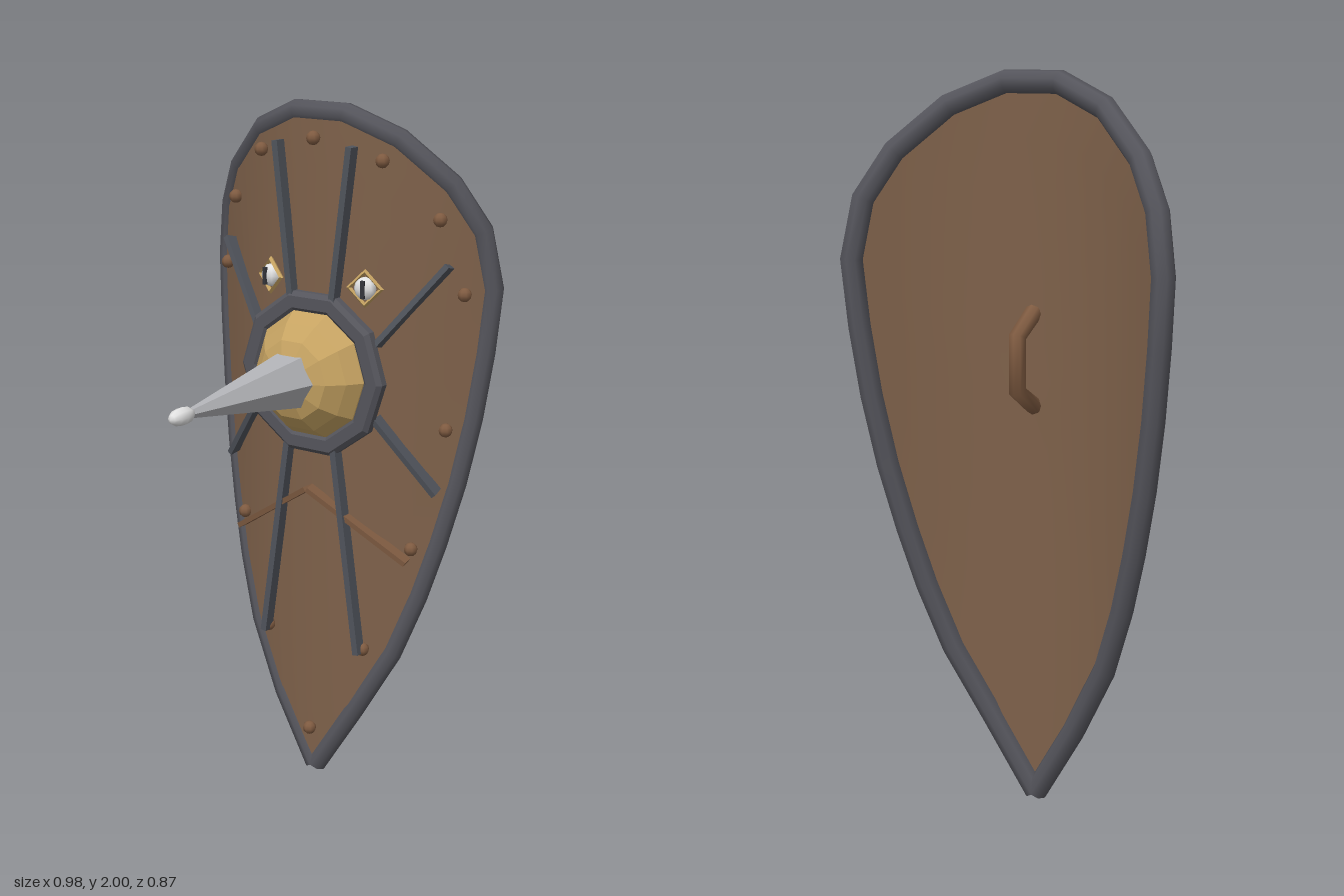
import * as THREE from 'three';

const mat = (name, color, side = THREE.FrontSide) => {
  const m = new THREE.MeshStandardMaterial({ color, side });
  m.name = name;
  return m;
};

// Straight-segment path, sampled corner by corner
class Polyline extends THREE.Curve {
  constructor(points) { super(); this.points = points; }
  getPoint(t, target = new THREE.Vector3()) {
    const n = this.points.length - 1;
    const i = Math.min(Math.floor(t * n + 1e-9), n - 1);
    return target.lerpVectors(this.points[i], this.points[i + 1], t * n - i);
  }
  getPointAt(u, target) { return this.getPoint(u, target); }
  getTangentAt(u, target) { return this.getTangent(u, target); }
}

const CENTRE_Y = 1.237;
const FRONT = -0.205, BACK = -0.235, RIM = -0.228;
const bend = (x, z0) => z0 - 0.85 * x * x;

// Right half of the kite outline, tip to top
const HALF = [[0, 0.018], [0.125, 0.22], [0.235, 0.42], [0.3, 0.6], [0.345, 0.76], [0.387, 0.94],
  [0.42, 1.13], [0.443, 1.32], [0.457, 1.5], [0.43, 1.66], [0.36, 1.785], [0.23, 1.905], [0.08, 1.967]];
const OUTLINE = [...HALF, ...HALF.slice().reverse().map(([x, y]) => [-x, y])];

const flat = (geometry) => {
  const g = geometry.index ? geometry.toNonIndexed() : geometry;
  g.computeVertexNormals();
  return g;
};

// Lathe whose axis points forward; profile is [radius, z]
const forwardLathe = (profile, sides) => {
  const pts = profile.map(([r, z]) => new THREE.Vector2(r, z));
  return flat(new THREE.LatheGeometry(pts, sides, Math.PI / 2).rotateX(Math.PI / 2));
};

// Curved board face: scaled rings of the outline about a centre point
function sheet(z0, flip) {
  const rings = 6, n = OUTLINE.length - 1, pos = [], idx = [];
  for (let r = 0; r <= rings; r++) {
    for (let i = 0; i < n; i++) {
      const x = OUTLINE[i][0] * r / rings;
      pos.push(x, 1.1 + (OUTLINE[i][1] - 1.1) * r / rings, bend(x, z0));
    }
  }
  for (let r = 0; r < rings; r++) {
    for (let i = 0; i < n; i++) {
      const a = r * n + i, b = r * n + (i + 1) % n, c = a + n, d = b + n;
      const tris = r ? [[a, c, d], [a, d, b]] : [[a, c, d]];
      for (const t of tris) idx.push(...(flip ? t.reverse() : t));
    }
  }
  const g = new THREE.BufferGeometry();
  g.setAttribute('position', new THREE.Float32BufferAttribute(pos, 3));
  g.setIndex(idx);
  g.computeVertexNormals();
  return g;
}

// Box bar running from a to b
function bar(a, b, width, depth) {
  const p = new THREE.Vector3(...a), q = new THREE.Vector3(...b);
  const dir = q.clone().sub(p), len = dir.length();
  dir.normalize();
  const x = dir.clone().cross(new THREE.Vector3(0, 0, 1)).normalize();
  const z = x.clone().cross(dir);
  const m = new THREE.Matrix4().makeBasis(x, dir, z).setPosition(p.add(q).multiplyScalar(0.5));
  return new THREE.BoxGeometry(width, len, depth).applyMatrix4(m);
}

export function createModel() {
  const wood = mat('wood', 0x7e614a);
  const trimWood = mat('trim wood', 0x7f5b41);
  const iron = mat('rim iron', 0x55555c, THREE.DoubleSide);
  const bandIron = mat('band iron', 0x50545c);
  const gold = mat('gold', 0xc6a362);
  const steel = mat('steel', 0xb2b3b7);
  const white = mat('pale metal', 0xe2e2e2);
  const dark = mat('pupil', 0x34353b);

  const model = new THREE.Group();
  model.name = 'shield';
  const add = (name, geometry, material, parent = model) => {
    const mesh = new THREE.Mesh(geometry, material);
    mesh.name = name;
    parent.add(mesh);
    return mesh;
  };

  // Curved board and its rim
  add('boardFront', sheet(FRONT, false), wood);
  add('boardBack', sheet(BACK, true), wood);
  const rimPath = [...OUTLINE, OUTLINE[0]].filter((p, i, all) => !i || p[0] !== all[i - 1][0] || p[1] !== all[i - 1][1])
    .map(([x, y]) => new THREE.Vector3(x, y, bend(x, RIM)));
  add('rim', new THREE.TubeGeometry(new Polyline(rimPath), rimPath.length - 1, 0.032, 8, false), iron);

  // Centre boss: ring, dome, spike and its tip
  const boss = new THREE.Group();
  boss.name = 'boss';
  boss.position.y = CENTRE_Y;
  model.add(boss);
  add('bossRing', forwardLathe([[0.18, -0.21], [0.243, -0.21], [0.243, -0.188], [0.23, -0.176],
    [0.195, -0.176], [0.18, -0.188], [0.18, -0.21]], 10), iron, boss);
  add('bossDome', forwardLathe([[0.19, -0.2], [0.185, -0.18], [0.157, -0.137], [0.115, -0.095],
    [0.06, -0.074], [0, -0.068]], 10), gold, boss);
  add('spike', forwardLathe([[0.083, -0.085], [0.012, 0.36], [0, 0.36]], 6), steel, boss);
  const tip = add('spikeTip', new THREE.SphereGeometry(0.025, 8, 6).rotateX(Math.PI / 2), white, boss);
  tip.scale.z = 1.9;
  tip.position.z = 0.388;

  // Mirrored bands, chevron and eyes
  for (const s of [1, -1]) {
    const bars = [
      ['upperBand', [0.125, 1.885, -0.197], [0.068, 1.43, -0.197], 0.019, 0.034],
      ['lowerBand', [0.167, 0.42, -0.2], [0.077, 1.05, -0.197], 0.019, 0.034],
      ['upperSideBand', [0.378, 1.57, -0.305], [0.2, 1.34, -0.222], 0.016, 0.042],
      ['lowerSideBand', [0.36, 0.922, -0.295], [0.2, 1.13, -0.222], 0.016, 0.042],
    ];
    for (const [name, a, b, w, d] of bars) {
      add(name, bar([s * a[0], a[1], a[2]], [s * b[0], b[1], b[2]], w, d), bandIron);
    }
    add('chevronArm', bar([0, 0.9, -0.18], [s * 0.295, 0.714, -0.25], 0.015, 0.036), trimWood);

    const eye = new THREE.Group();
    eye.name = 'eye';
    eye.position.set(s * 0.162, 1.497, -0.216);
    eye.rotation.y = s * 0.27;
    model.add(eye);
    add('eyeFrame', flat(new THREE.TorusGeometry(0.047, 0.008, 4, 4)), gold, eye);
    add('eyeball', new THREE.SphereGeometry(0.033, 8, 6), white, eye).scale.z = 0.7;
    add('eyeSlit', new THREE.BoxGeometry(0.011, 0.05, 0.009), dark, eye).position.z = 0.022;
  }

  // Rivets around the edge
  const rivet = new THREE.SphereGeometry(0.02, 8, 6);
  for (const [x, y] of [[0, 1.9], [0.205, 1.85], [0.35, 1.695], [0.41, 1.49], [0.375, 1.105],
    [0.297, 0.75], [0.17, 0.43], [0, 0.145]]) {
    for (const s of x ? [1, -1] : [1]) {
      add('rivet', rivet, trimWood).position.set(s * x, y, bend(x, -0.192));
    }
  }

  // Rear hand grip
  const grip = [[1.365, -0.23], [1.31, -0.322], [1.165, -0.322], [1.11, -0.23]]
    .map(([y, z]) => new THREE.Vector3(0, y, z));
  add('grip', new THREE.TubeGeometry(new Polyline(grip), 3, 0.024, 8, false), trimWood);

  return model;
}
